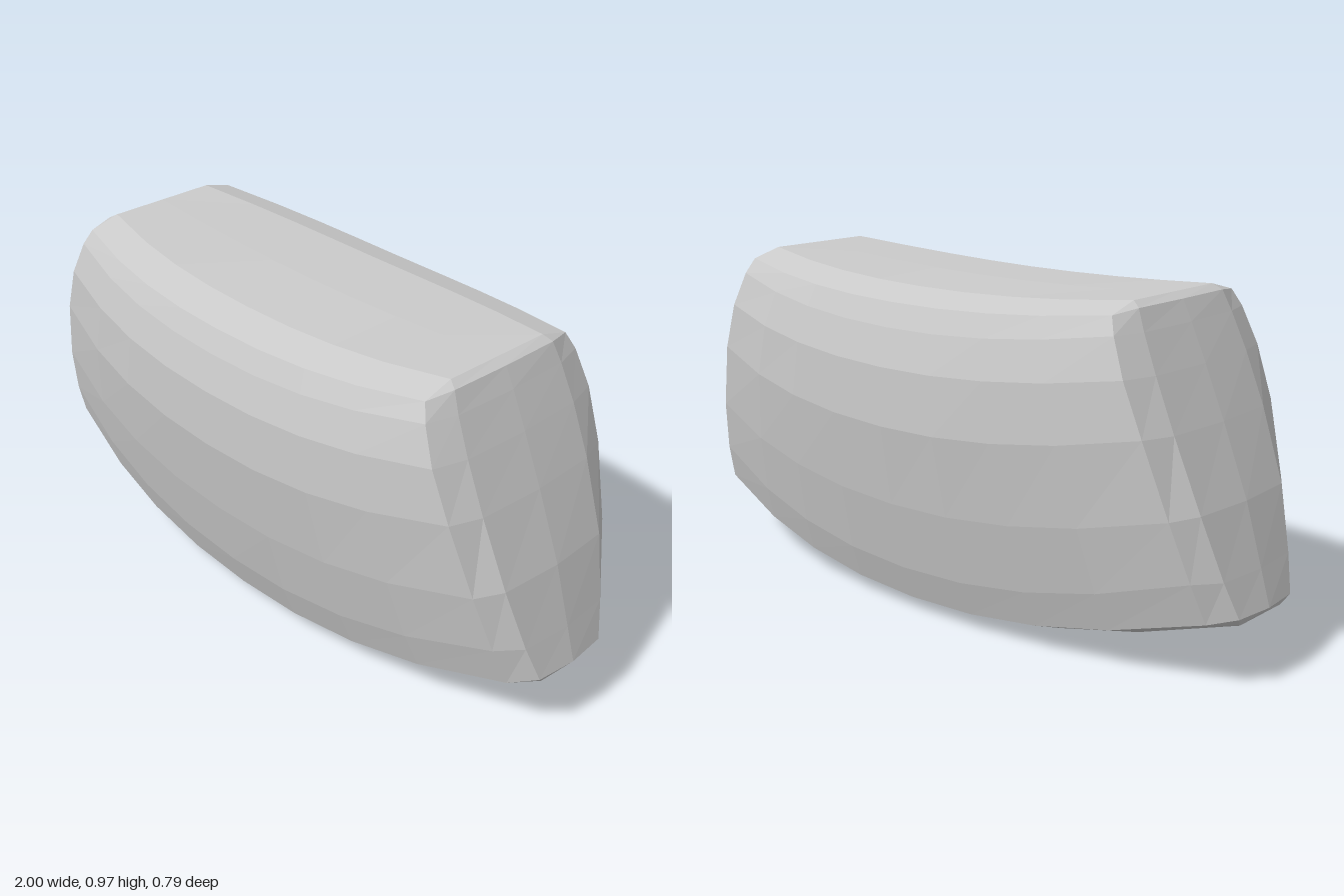
import * as THREE from 'three';

// Each row from bottom to top:
// centre [y, z], corner edge [x, y, z], end face [x, y, z], end bulge
const ROWS = [
  { c: [0.008, 0.19], e: [0.975, 0.176, 0.095], f: [0.975, 0.176, 0.095], b: 0 }, // underside border
  { c: [0.04, 0.277], e: [0.93, 0.19, 0.18], f: [0.988, 0.202, 0.12], b: 0.012 },
  { c: [0.14, 0.312], e: [0.905, 0.30, 0.217], f: [0.958, 0.30, 0.15], b: 0.012 },
  { c: [0.34, 0.357], e: [0.862, 0.46, 0.256], f: [0.906, 0.468, 0.185], b: 0.012 },
  { c: [0.57, 0.393], e: [0.798, 0.66, 0.288], f: [0.83, 0.66, 0.2], b: 0.01 },
  { c: [0.735, 0.39], e: [0.743, 0.80, 0.296], f: [0.77, 0.80, 0.2], b: 0.008 },
  { c: [0.84, 0.365], e: [0.70, 0.90, 0.28], f: [0.725, 0.90, 0.192], b: 0.006 },
  { c: [0.905, 0.34], e: [0.678, 0.945, 0.26], f: [0.70, 0.955, 0.182], b: 0.003 },
  { c: [0.935, 0.235], e: [0.675, 0.97, 0.17], f: [0.675, 0.97, 0.17], b: 0 }, // top border
];
const COLS = [-1, -0.72, -0.48, -0.24, 0, 0.24, 0.48, 0.72, 1];
const LAST = COLS.length - 1;

// Closed loop: front, left end, back, right end
function ring({ c, e, f, b }) {
  const side = (s) => COLS.map((u) => {
    const a = Math.abs(u);
    const y = c[0] + (e[1] - c[0]) * a ** 2;
    const z = c[1] + (e[2] - c[1]) * a ** 2.4;
    return new THREE.Vector3(u * e[0], y, s * z);
  });
  const end = (s) => [1, 0, -1].map((k) =>
    new THREE.Vector3(s * (f[0] + (k ? 0 : b)), f[1], s * k * f[2]));
  return [...side(1), ...end(1), ...side(-1).reverse(), ...end(-1)];
}

function buildGeometry() {
  const pos = [];
  const tri = (a, b, c) => {
    const n = b.clone().sub(a).cross(c.clone().sub(a));
    if (n.length() > 1e-8) for (const p of [a, b, c]) pos.push(p.x, p.y, p.z);
  };
  const quad = (a, b, c, d) => { tri(a, b, c); tri(a, c, d); };

  // Walls and bevels between neighbouring loops
  const rings = ROWS.map(ring);
  for (let r = 0; r < rings.length - 1; r++) {
    const lo = rings[r], hi = rings[r + 1], n = lo.length;
    for (let i = 0; i < n; i++) {
      const j = (i + 1) % n;
      quad(lo[i], lo[j], hi[j], hi[i]);
    }
  }

  // Slightly crowned cap with a middle line from end to end
  const cap = (loop, crown, up) => {
    const front = loop.slice(0, LAST + 1);
    const back = loop.slice(LAST + 4, 2 * LAST + 5).reverse();
    const mid = front.map((p, k) =>
      new THREE.Vector3(p.x, p.y + crown * (1 - COLS[k] ** 2), 0));
    for (const [p, q] of [[front, mid], [mid, back]]) {
      for (let k = 0; k < LAST; k++) {
        if (up) quad(p[k], p[k + 1], q[k + 1], q[k]);
        else quad(p[k], q[k], q[k + 1], p[k + 1]);
      }
    }
  };
  cap(rings[0], -0.008, false);
  cap(rings[rings.length - 1], 0.005, true);

  const g = new THREE.BufferGeometry();
  g.setAttribute('position', new THREE.Float32BufferAttribute(pos, 3));
  g.computeVertexNormals();
  return g;
}

export function createModel() {
  const group = new THREE.Group();
  const body = new THREE.Mesh(
    buildGeometry(),
    new THREE.MeshStandardMaterial({ color: 0xcccccc, flatShading: true }),
  );
  body.name = 'curvedBody';
  group.add(body);
  return group;
}
